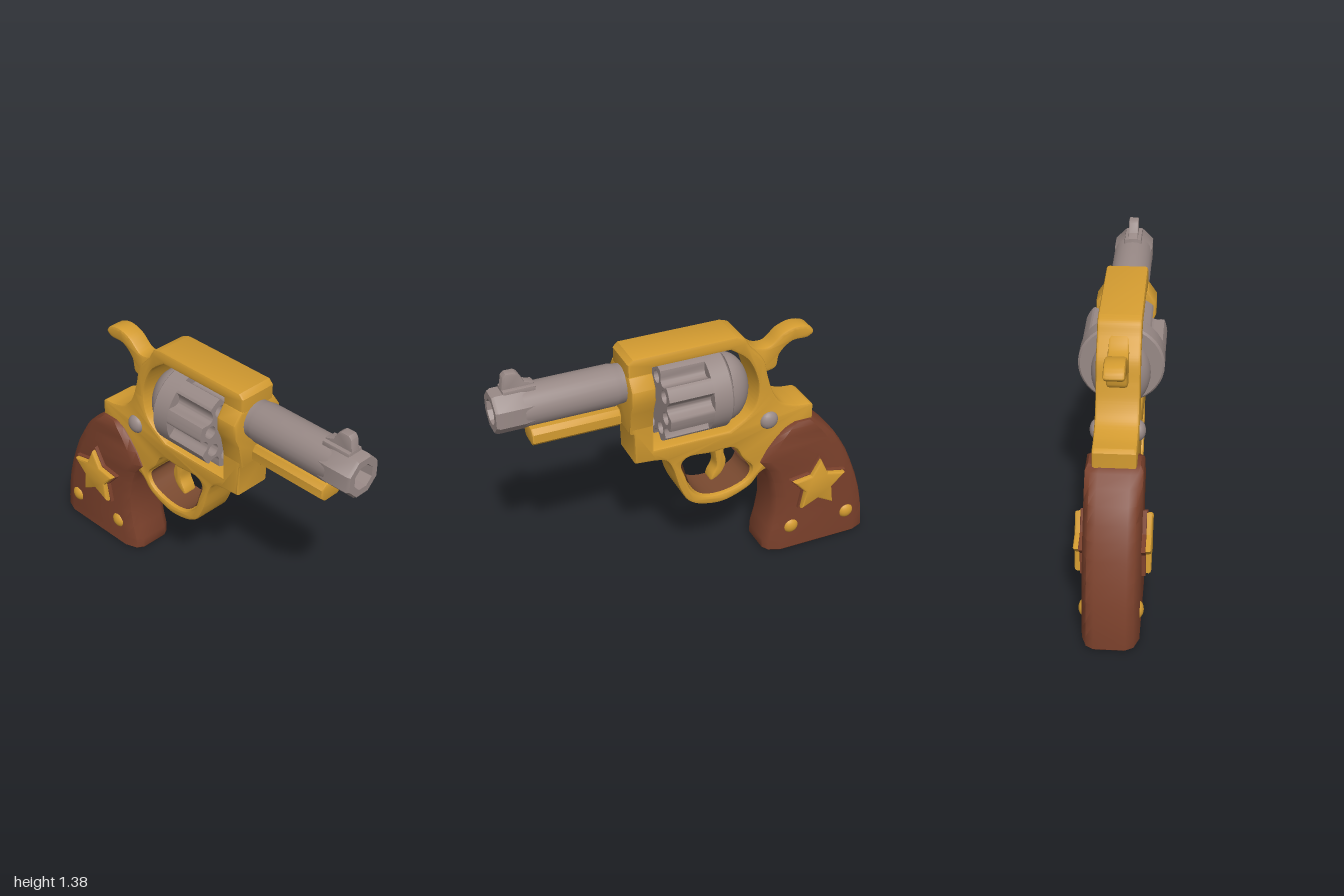
import * as THREE from 'three';
import { toCreasedNormals } from 'three/addons/utils/BufferGeometryUtils.js';

const mat = (name, color, side = THREE.FrontSide) => {
  const m = new THREE.MeshStandardMaterial({ color, side });
  m.name = name;
  return m;
};
const V = (list) => list.map(([x, y]) => new THREE.Vector2(x, y));

// Smooth closed outline through a few points
function blob(list, n = 48) {
  const c = new THREE.CatmullRomCurve3(list.map(([x, y]) => new THREE.Vector3(x, y, 0)), true, 'centripetal');
  return c.getPoints(n).slice(0, -1).map((p) => new THREE.Vector2(p.x, p.y));
}

// Plate centred on z = 0 whose rounded edge stays inside the outline
function plate(shape, half, bevel) {
  const g = new THREE.ExtrudeGeometry(shape, {
    depth: 2 * (half - bevel), bevelEnabled: bevel > 0, bevelSize: bevel, bevelThickness: bevel,
    bevelOffset: -bevel, bevelSegments: 2, curveSegments: 16,
  });
  g.translate(0, 0, bevel - half);
  return toCreasedNormals(g, 0.65);
}

// Section in z (mirrored) and y, swept along x from x0 to x1
function sweepX(shape, x0, x1, bevel) {
  const g = plate(shape, (x1 - x0) / 2, bevel);
  g.rotateY(Math.PI / 2);
  g.translate((x0 + x1) / 2, 0, 0);
  return g;
}

// Turned part with its axis along x, profile points are [radius, x]
function turned(profile, segments, y, start = 0) {
  const g = toCreasedNormals(new THREE.LatheGeometry(V(profile), segments, start), 0.6);
  g.rotateZ(-Math.PI / 2);
  g.translate(0, y, 0);
  return g;
}

function starShape(cx, cy, r) {
  const pts = [];
  for (let i = 0; i < 10; i++) {
    const a = Math.PI / 2 + i * Math.PI / 5 + 0.04, q = i % 2 ? r * 0.52 : r;
    pts.push(new THREE.Vector2(cx + q * Math.cos(a), cy + q * Math.sin(a)));
  }
  return new THREE.Shape(pts);
}

// Grip lofted from chamfered sections; rows are [y, back x, front x]
function gripGeometry() {
  const rows = [[0, -0.985, -0.4], [0.015, -1, -0.388], [0.07, -0.998, -0.388], [0.15, -0.988, -0.41],
    [0.25, -0.968, -0.428], [0.35, -0.938, -0.428], [0.45, -0.9, -0.412], [0.53, -0.865, -0.385],
    [0.6, -0.825, -0.33], [0.67, -0.78, -0.372], [0.73, -0.72, -0.425], [0.775, -0.665, -0.475], [0.8, -0.63, -0.53]];
  const q = [[1, 0.55], [0.93, 0.82], [0.72, 1]];
  const ring = [...q, ...q.map(([x, z]) => [-x, z]).reverse(),
    ...q.map(([x, z]) => [-x, -z]), ...q.map(([x, z]) => [x, -z]).reverse()];
  const n = ring.length, pos = [], idx = [];
  rows.forEach(([y, a, b], j) => {
    const zw = j === 0 || j === rows.length - 1 ? 0.122 : 0.136;
    ring.forEach(([x, z]) => pos.push((a + b) / 2 + x * (b - a) / 2, y, z * zw));
  });
  for (let j = 0; j < rows.length - 1; j++) {
    for (let i = 0; i < n; i++) {
      const a = j * n + i, b = j * n + (i + 1) % n;
      idx.push(a, a + n, b, b, a + n, b + n);
    }
  }
  const top = (rows.length - 1) * n;
  for (let i = 1; i < n - 1; i++) idx.push(0, i, i + 1, top, top + i + 1, top + i);
  const g = new THREE.BufferGeometry();
  g.setAttribute('position', new THREE.Float32BufferAttribute(pos, 3));
  g.setIndex(idx);
  return toCreasedNormals(g, 0.7);
}

export function createModel() {
  const root = new THREE.Group();
  root.name = 'toyRevolver';
  const gold = mat('gold', 0xd39b30), wood = mat('wood', 0x7a402b), steel = mat('steel', 0x988986);
  const dark = mat('darkSteel', 0x5a5250), liner = mat('liner', 0x7a4a30, THREE.DoubleSide);
  const add = (name, geometry, material) => {
    const m = new THREE.Mesh(geometry, material);
    m.name = name;
    root.add(m);
    return m;
  };

  // Frame with trigger guard, cut by the cylinder window and the finger hole
  const frame = new THREE.Shape();
  frame.moveTo(0.335, 0.775);
  frame.lineTo(0.34, 0.94);
  frame.lineTo(0.36, 0.97);
  frame.lineTo(0.36, 1.335);
  frame.lineTo(0.335, 1.36);
  frame.lineTo(-0.2, 1.36);
  frame.splineThru(V([[-0.245, 1.34], [-0.28, 1.285], [-0.35, 1.2], [-0.38, 1.09], [-0.41, 1.0],
    [-0.46, 0.93], [-0.54, 0.895], [-0.62, 0.885]]));
  frame.lineTo(-0.64, 0.87);
  frame.lineTo(-0.64, 0.78);
  frame.lineTo(-0.5, 0.7);
  frame.lineTo(-0.4, 0.55);
  frame.splineThru(V([[-0.35, 0.53], [-0.285, 0.462], [-0.15, 0.413], [-0.03, 0.425], [0.05, 0.468],
    [0.1, 0.56], [0.135, 0.68], [0.17, 0.745], [0.23, 0.765]]));
  const windowHole = new THREE.Path();
  windowHole.moveTo(0.235, 0.83);
  windowHole.lineTo(0.235, 1.295);
  windowHole.lineTo(-0.17, 1.295);
  windowHole.splineThru(V([[-0.27, 1.21], [-0.325, 1.06], [-0.295, 0.92], [-0.17, 0.83]]));
  const guardPts = [[-0.2, 0.725], [-0.25, 0.645], [-0.305, 0.575], [-0.28, 0.51], [-0.15, 0.463],
    [-0.03, 0.475], [0.035, 0.53], [0.068, 0.62], [0.09, 0.7], [0.06, 0.735], [-0.07, 0.73]];
  frame.holes.push(windowHole, new THREE.Path(blob(guardPts)));
  add('frame', plate(frame, 0.105, 0.014), gold);

  // Brown inner face of the trigger guard
  const path = new THREE.CatmullRomCurve3(guardPts.slice(1, 9).map(([x, y]) =>
    new THREE.Vector3(-0.1 + (x + 0.1) * 0.95, 0.6 + (y - 0.6) * 0.93, 0)));
  const strip = new THREE.PlaneGeometry(1, 0.18, 28, 1), sp = strip.attributes.position;
  for (let i = 0; i < sp.count; i++) {
    const p = path.getPoint(sp.getX(i) + 0.5);
    sp.setXYZ(i, p.x, p.y, sp.getY(i));
  }
  strip.computeVertexNormals();
  add('guardLiner', strip, liner);

  // Wider collar that holds the barrel
  const collar = new THREE.Shape(V([[-0.1, 0.95], [0.1, 0.95], [0.125, 1.08], [0.15, 1.14], [0.15, 1.21],
    [0.11, 1.27], [-0.11, 1.27], [-0.15, 1.21], [-0.15, 1.14], [-0.125, 1.08]]));
  add('barrelCollar', sweepX(collar, 0.238, 0.362, 0.012), gold);

  // Hammer and trigger
  add('hammer', plate(new THREE.Shape(blob([[-0.65, 1.265], [-0.625, 1.297], [-0.555, 1.312], [-0.48, 1.29],
    [-0.405, 1.232], [-0.34, 1.24], [-0.27, 1.29], [-0.29, 1.2], [-0.36, 1.1], [-0.445, 1.108],
    [-0.465, 1.18], [-0.53, 1.235], [-0.62, 1.24]], 60)), 0.05, 0.014), gold);
  add('trigger', plate(new THREE.Shape(blob([[-0.205, 0.745], [-0.172, 0.68], [-0.185, 0.61], [-0.155, 0.54],
    [-0.1, 0.513], [-0.105, 0.54], [-0.13, 0.59], [-0.125, 0.66], [-0.12, 0.745]])), 0.04, 0.01), gold);

  // Octagonal muzzle with a recessed bore, on a round barrel
  add('barrel', turned([[0, 0.355], [0.096, 0.355], [0.098, 0.39], [0.103, 0.41], [0.103, 0.86]], 24, 1.19), steel);
  add('muzzle', turned([[0.1, 0.8], [0.109, 0.86], [0.109, 0.985], [0.1, 1], [0.064, 1], [0.058, 0.93]],
    8, 1.19, Math.PI / 8), steel);
  add('bore', turned([[0.062, 0.93], [0, 0.93]], 8, 1.19, Math.PI / 8), dark);

  // Front sight on a wider foot
  add('frontSight', plate(new THREE.Shape(V([[0.785, 1.27], [0.79, 1.31], [0.835, 1.325], [0.86, 1.37],
    [0.875, 1.38], [0.92, 1.38], [0.935, 1.365], [0.95, 1.27]])), 0.025, 0.006), steel);
  add('sightFoot', plate(new THREE.Shape(V([[0.785, 1.26], [0.79, 1.305], [0.945, 1.305], [0.95, 1.26]])), 0.045, 0.008), steel);

  // Ejector rod under the barrel
  const rod = new THREE.Shape(V([[-0.045, 0.985], [0.045, 0.985], [0.065, 1.005], [0.065, 1.05],
    [0.045, 1.075], [-0.045, 1.075], [-0.065, 1.05], [-0.065, 1.005]]));
  add('ejectorRod', sweepX(rod, 0.385, 0.83, 0.008), gold);

  // Drum: solid rear, fluted front with open chambers
  const flutes = 8, turn = 0.16, step = 2 * Math.PI / flutes, cy = 1.06, R = 0.21;
  const outline = [];
  for (let i = 0; i < 160; i++) {
    const a = i * 2 * Math.PI / 160;
    const d = Math.abs(((a - turn) / step % 1 + 1.5) % 1 - 0.5) * step / 0.2;
    const r = R - 0.05 * Math.sqrt(Math.max(0, 1 - d * d));
    outline.push(new THREE.Vector2(r * Math.cos(a), cy + r * Math.sin(a)));
  }
  const drum = new THREE.Shape(outline);
  for (let i = 0; i < flutes; i++) {
    const a = turn + (i + 0.5) * step;
    drum.holes.push(new THREE.Path().absarc(0.145 * Math.cos(a), cy + 0.145 * Math.sin(a), 0.033, 0, 2 * Math.PI, true));
  }
  add('drumFront', sweepX(drum, -0.04, 0.19, 0), steel);
  add('drumRear', turned([[0, -0.145], [0.2, -0.145], [R, -0.135], [R, -0.04], [0, -0.04]], 40, cy), steel);

  // Domed recoil shield behind the drum
  const dome = [];
  for (let i = 0; i <= 10; i++) {
    const a = i * Math.PI / 20;
    dome.push([0.185 * Math.sin(a), -0.17 - 0.13 * Math.cos(a)]);
  }
  dome.push([0, -0.17]);
  const shield = turned(dome, 32, 0);
  shield.scale(1, 1, 0.78);
  shield.translate(0, 1.04, 0);
  add('recoilShield', shield, steel);

  // Grip
  add('grip', gripGeometry(), wood);

  // Fittings on both sides
  const button = (name, x, y, z, r, h, side, material) => {
    const m = add(name, new THREE.SphereGeometry(r, 20, 12), material);
    m.scale.z = h / r;
    m.position.set(x, y, side * z);
  };
  for (const side of [1, -1]) {
    const tag = side > 0 ? 'Front' : 'Back';
    add('starBase' + tag, plate(starShape(-0.662, 0.41, 0.172), 0.02, 0.004), wood).position.z = side * 0.136;
    add('star' + tag, plate(starShape(-0.662, 0.41, 0.158), 0.025, 0.012), gold).position.z = side * 0.157;
    button('rearStud' + tag, -0.865, 0.155, 0.122, 0.045, 0.032, side, gold);
    button('frontStud' + tag, -0.53, 0.155, 0.122, 0.045, 0.032, side, gold);
    button('frameScrew' + tag, -0.388, 0.845, 0.1, 0.05, 0.034, side, steel);
  }
  return root;
}
